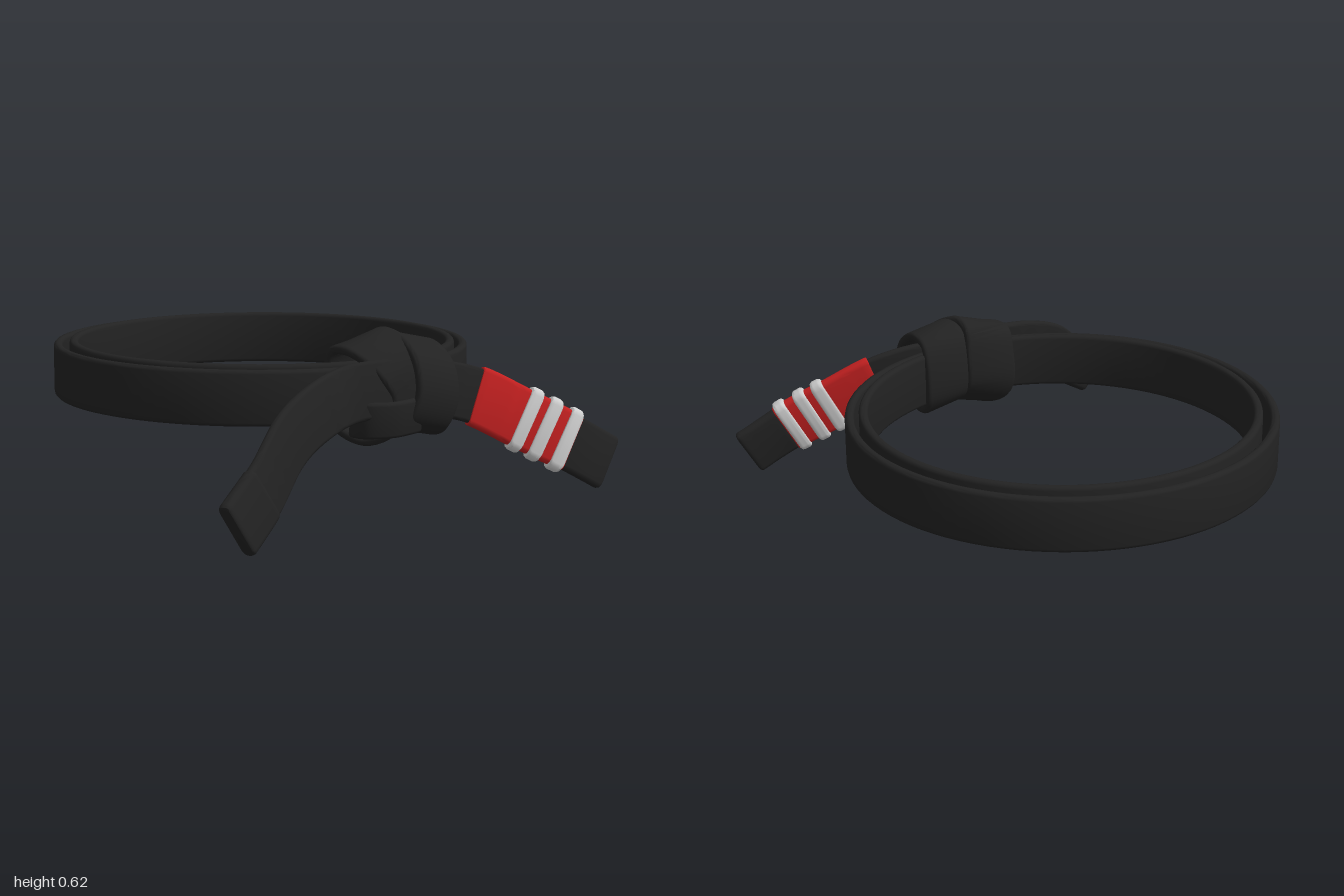
import * as THREE from 'three';
import { toCreasedNormals } from 'three/addons/utils/BufferGeometryUtils.js';

const V = (p) => new THREE.Vector3(...p);
const path = (pts, closed = false) => new THREE.CatmullRomCurve3(pts.map(V), closed, 'centripetal');

// Rounded rectangle cross-section, counter-clockwise
function section(w, d) {
  const r = Math.min(w, d) * 0.42, pts = [];
  [[1, 1], [-1, 1], [-1, -1], [1, -1]].forEach(([sx, sy], q) => {
    for (let k = 0; k < 4; k++) {
      const a = (q + k / 3) * Math.PI / 2;
      pts.push([sx * (w / 2 - r) + r * Math.cos(a), sy * (d / 2 - r) + r * Math.sin(a)]);
    }
  });
  return pts;
}

// Flat strap swept along a curve; hint is the direction its width lies in
function strap(curve, { width, thick, hint, from = 0, to = 1, steps = 32, round = 0.012 }) {
  const closed = curve.closed, len = curve.getLength(), pos = [], idx = [];
  const stops = [];
  for (let i = 0; i < steps; i++) stops.push([from + (to - from) * i / (closed ? steps : steps - 1), 0]);
  if (!closed) { // rounded strap ends
    const e = round / len;
    stops[0][0] += e;
    stops[steps - 1][0] -= e;
    stops.unshift([from, round], [from + e * 0.3, round * 0.35]);
    stops.push([to - e * 0.3, round * 0.35], [to, round]);
  }
  const n = section(width, thick).length;
  for (const [t, inset] of stops) {
    const p = curve.getPointAt(t), T = curve.getTangentAt(t);
    const w = V(hint).addScaledVector(T, -V(hint).dot(T)).normalize();
    const d = T.clone().cross(w);
    for (const [a, b] of section(width - 2 * inset, thick - inset * 0.8)) {
      pos.push(...p.clone().addScaledVector(w, a).addScaledVector(d, b).toArray());
    }
  }
  const rings = stops.length;
  for (let i = 0; i < (closed ? rings : rings - 1); i++) {
    for (let j = 0; j < n; j++) {
      const a = i * n + j, b = i * n + (j + 1) % n;
      const k = ((i + 1) % rings) * n, c = k + (j + 1) % n, e = k + j;
      idx.push(a, b, c, a, c, e);
    }
  }
  if (!closed) {
    const k = (rings - 1) * n;
    for (let j = 1; j < n - 1; j++) idx.push(0, j + 1, j, k, k + j, k + j + 1);
  }
  const g = new THREE.BufferGeometry();
  g.setAttribute('position', new THREE.Float32BufferAttribute(pos, 3));
  g.setIndex(idx);
  return toCreasedNormals(g, 0.65);
}

export function createModel() {
  const material = (name, color) => {
    const m = new THREE.MeshStandardMaterial({ color });
    m.name = name;
    return m;
  };
  const black = material('black cloth', 0x222222);
  const red = material('red cloth', 0xc22020);
  const white = material('white tape', 0xcfcfcf);

  const model = new THREE.Group();
  model.name = 'tiedBelt';
  const add = (name, mat, curve, options) => {
    const mesh = new THREE.Mesh(strap(curve, options), mat);
    mesh.name = name;
    model.add(mesh);
  };

  // Two turns around the waist
  const hoop = (r, y, z) => path(Array.from({ length: 32 }, (_, i) => {
    const a = i / 32 * Math.PI * 2;
    return [r * Math.sin(a), y, z + r * Math.cos(a)];
  }), true);
  add('outerTurn', black, hoop(0.784, 0.41, -0.2), { width: 0.2, thick: 0.034, hint: [0, 1, 0], steps: 96 });
  add('innerTurn', black, hoop(0.728, 0.416, -0.19), { width: 0.212, thick: 0.034, hint: [0, 1, 0], steps: 96 });

  // Knot wraps passing over and under both turns
  add('leftwardWrap', black, path([
    [-0.06, 0.34, 0.485], [-0.06, 0.5, 0.475], [-0.06, 0.575, 0.5], [-0.05, 0.592, 0.56],
    [0, 0.54, 0.66], [0.06, 0.44, 0.7], [0.06, 0.32, 0.68], [-0.01, 0.28, 0.58],
  ], true), { width: 0.215, thick: 0.036, hint: [1, 0.27, 0], steps: 56 });
  add('frontWrap', black, path([
    [0.13, 0.33, 0.49], [0.13, 0.5, 0.485], [0.13, 0.57, 0.52], [0.135, 0.585, 0.6],
    [0.14, 0.52, 0.7], [0.135, 0.4, 0.735], [0.11, 0.3, 0.7], [0.12, 0.28, 0.58],
  ], true), { width: 0.185, thick: 0.036, hint: [1, -0.22, 0], steps: 56 });
  add('lowerTuck', black, path([
    [-0.06, 0.32, 0.57], [-0.135, 0.33, 0.61], [-0.14, 0.335, 0.68], [-0.05, 0.335, 0.722], [0.08, 0.34, 0.71],
  ]), { width: 0.13, thick: 0.03, hint: [0, 1, 0.1] });

  // Plain tail with a folded, thicker tip
  const plain = path([
    [0.05, 0.44, 0.685], [-0.1, 0.44, 0.68], [-0.2, 0.43, 0.67], [-0.36, 0.395, 0.72],
    [-0.52, 0.33, 0.79], [-0.69, 0.2, 0.89], [-0.85, 0.098, 0.97],
  ]);
  const plainHint = [0, 1, -0.2];
  add('plainTail', black, plain, { width: 0.205, thick: 0.034, hint: plainHint, to: 0.98 });
  add('plainTailTip', black, plain, { width: 0.21, thick: 0.05, hint: plainHint, from: 0.82, steps: 10 });

  // Ranked tail with red sleeve and white tape bands
  const ranked = path([
    [0.05, 0.42, 0.64], [0.22, 0.41, 0.665], [0.34, 0.38, 0.69],
    [0.51, 0.29, 0.75], [0.67, 0.2, 0.82], [0.845, 0.1, 0.86],
  ]);
  const rankHint = [0, 1, -0.15];
  add('rankedTail', black, ranked, { width: 0.205, thick: 0.032, hint: rankHint, to: 0.98 });
  add('rankedTailTip', black, ranked, { width: 0.21, thick: 0.046, hint: rankHint, from: 0.79, steps: 10 });
  add('redSleeve', red, ranked, { width: 0.222, thick: 0.046, hint: rankHint, from: 0.335, to: 0.8, steps: 16, round: 0.004 });
  [0.575, 0.665, 0.765].forEach((t, i) => add('whiteBand' + (i + 1), white, ranked, {
    width: 0.25, thick: 0.07, hint: rankHint, from: t - 0.028, to: t + 0.028, steps: 4, round: 0.012,
  }));

  return model;
}
